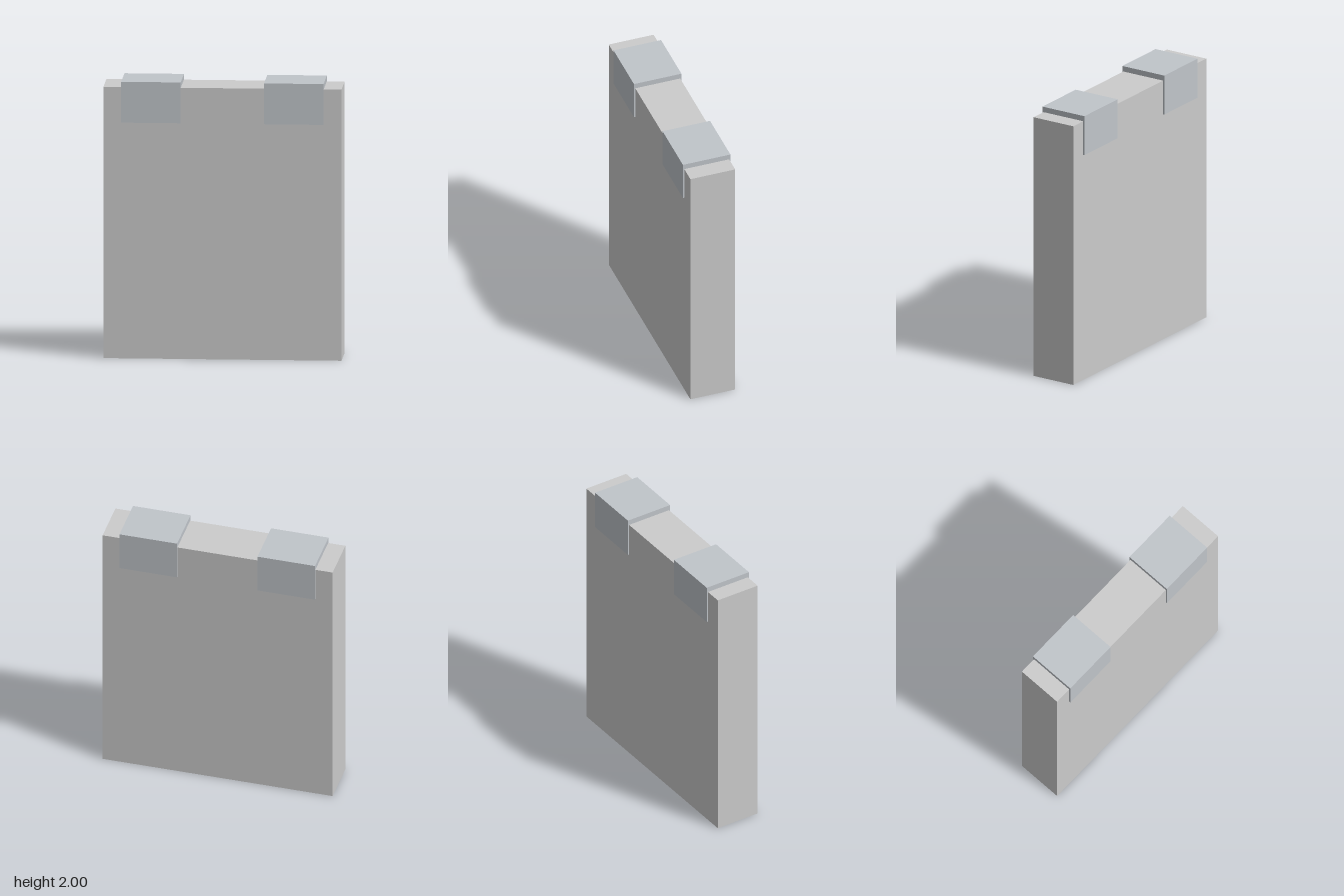
import * as THREE from 'three';

export function createModel() {
  const model = new THREE.Group();
  const bodyMaterial = new THREE.MeshStandardMaterial({ color: 0xcccccc });
  const clipMaterial = new THREE.MeshStandardMaterial({ color: 0xc0c5ca });

  // Box placed by its centre in x and its bottom and top in y
  function addBox(name, width, bottom, top, depth, x, material) {
    const mesh = new THREE.Mesh(new THREE.BoxGeometry(width, top - bottom, depth), material);
    mesh.name = name;
    mesh.position.set(x, (bottom + top) / 2, 0);
    model.add(mesh);
  }

  // Upright slab
  addBox('slab', 1.7, 0, 1.96, 0.34, 0, bodyMaterial);

  // Pair of clips wrapped over the top edge
  for (const [name, side] of [['leftClip', 1], ['rightClip', -1]]) {
    addBox(name, 0.425, 1.705, 2, 0.36, side * 0.51, clipMaterial);
  }

  return model;
}
